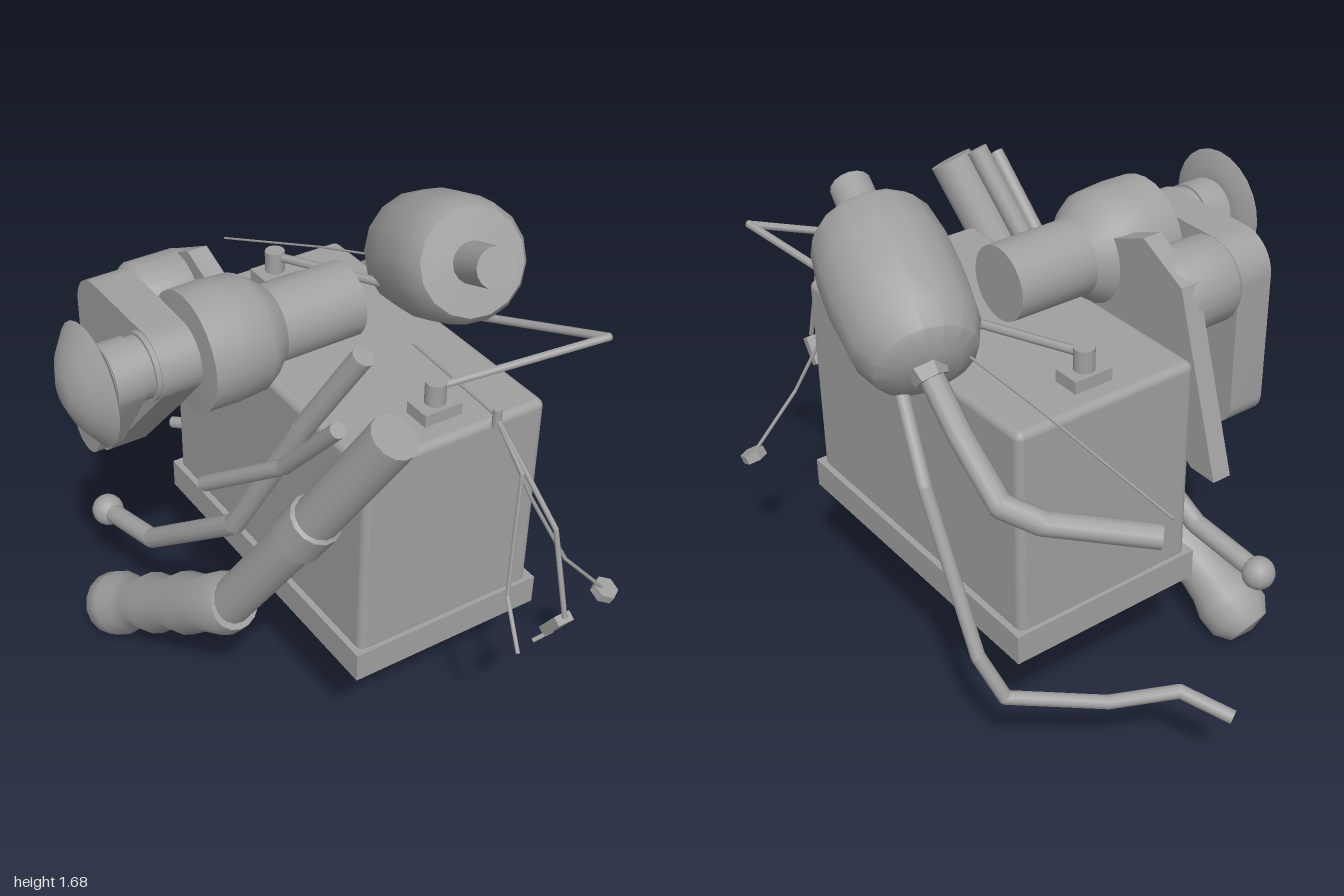
import * as THREE from 'three';
import { mergeGeometries, toCreasedNormals } from 'three/addons/utils/BufferGeometryUtils.js';
import { RoundedBoxGeometry } from 'three/addons/geometries/RoundedBoxGeometry.js';

const V = (p) => new THREE.Vector3(...p);
const UP = new THREE.Vector3(0, 1, 0);

export function createModel() {
  const model = new THREE.Group();
  const grey = new THREE.MeshStandardMaterial({ color: 0xa0a0a0 });
  grey.name = 'plain grey';

  const add = (name, geometry, pos = [0, 0, 0]) => {
    const mesh = new THREE.Mesh(geometry, grey);
    mesh.name = name;
    mesh.position.set(...pos);
    model.add(mesh);
    return mesh;
  };

  // Turned part: profile of [radius, distance] along the line from a towards b
  const turned = (name, profile, a, b, sides = 20) => {
    const g = new THREE.LatheGeometry(profile.map(([r, t]) => new THREE.Vector2(r, t)), sides);
    const mesh = add(name, toCreasedNormals(g, 0.7), a);
    mesh.quaternion.setFromUnitVectors(UP, V(b).sub(V(a)).normalize());
    return mesh;
  };

  // Bent rod: straight capped pieces with round joints
  const rod = (name, r, points, sides = 10) => {
    const parts = [];
    for (let i = 0; i < points.length - 1; i++) {
      const a = V(points[i]), b = V(points[i + 1]), d = b.clone().sub(a);
      const g = new THREE.CylinderGeometry(r, r, d.length(), sides);
      g.applyQuaternion(new THREE.Quaternion().setFromUnitVectors(UP, d.normalize()));
      const mid = a.add(b).multiplyScalar(0.5);
      parts.push(g.translate(mid.x, mid.y, mid.z));
      if (i > 0) parts.push(new THREE.SphereGeometry(r, sides, 6).translate(...points[i]));
    }
    return add(name, mergeGeometries(parts));
  };

  // Plate cut in the z-y plane, between two x positions
  const plate = (name, shape, x0, x1) => {
    const g = new THREE.ExtrudeGeometry(shape, { depth: x1 - x0, bevelEnabled: false, curveSegments: 8 });
    const mesh = add(name, toCreasedNormals(g, 0.7), [x1, 0, 0]);
    mesh.rotation.y = -Math.PI / 2; // shape x becomes z, depth runs to -x
    return mesh;
  };

  // Belt outline: arcs [z, y, radius, startAngle, endAngle] counter-clockwise
  const belt = (arcs) => {
    const s = new THREE.Shape();
    arcs.forEach(([z, y, r, a0, a1]) => s.absarc(z, y, r, a0, a1, false));
    s.closePath();
    return s;
  };

  // Case and base
  add('case', new RoundedBoxGeometry(0.63, 0.7, 1.1, 3, 0.025), [0.185, 0.9, 0.04]);
  add('base', new THREE.BoxGeometry(0.67, 0.1, 1.13), [0.185, 0.52, 0.04]);

  // Terminals on the lid
  for (const z of [-0.395, 0.47]) {
    add('terminalPad', new THREE.BoxGeometry(0.13, 0.05, 0.09), [0.185, 1.265, z]);
    add('terminalPost', new THREE.CylinderGeometry(0.032, 0.032, 0.1, 12), [0.185, 1.31, z]);
  }

  // Main spindle: barrel, housing, shaft and end knob, running along x
  turned('spindle', [
    [0, 0], [0.05, 0], [0.12, 0.03], [0.185, 0.08], [0.13, 0.105], [0.095, 0.106],
    [0.095, 0.24], [0.105, 0.24], [0.105, 0.38], [0.185, 0.385], [0.187, 0.48],
    [0.18, 0.58], [0.155, 0.62], [0.12, 0.66], [0.118, 0.935], [0, 0.935],
  ], [-0.745, 1.388, 0], [1, 1.388, 0], 24);

  // Second drum behind it
  turned('rearDrum', [[0, 0], [0.12, 0], [0.135, 0.02], [0.135, 0.18], [0.12, 0.22], [0, 0.22]],
    [-0.365, 1.37, -0.32], [1, 1.37, -0.32]);

  // Belts and the wall bracket
  const PI = Math.PI;
  plate('wideBelt', belt([
    [0, 1.388, 0.108, -0.7, PI / 2], [-0.31, 1.375, 0.12, PI / 2, PI], [-0.35, 0.96, 0.08, PI, 2 * PI - 0.7],
  ]), -0.49, -0.36);
  plate('narrowBelt', belt([
    [0, 1.388, 0.102, -0.4, PI * 0.85], [-0.14, 1.14, 0.08, PI * 0.9, 2 * PI - 0.4],
  ]), -0.625, -0.54);
  const bracket = new THREE.Shape([
    [-0.61, 0.88], [-0.51, 0.88], [-0.04, 1.22], [-0.04, 1.45], [-0.26, 1.54], [-0.43, 1.45],
  ].map(([z, y]) => new THREE.Vector2(z, y)));
  plate('bracket', bracket, -0.2, -0.135);

  // Main lever with collar and finger grip
  const gripTop = [-0.34, 0.55, 0.18];
  rod('mainLever', 0.072, [[-0.13, 1.44, 0.71], [-0.24, 1.0, 0.46], gripTop], 14);
  turned('leverCollar', [[0.07, 0], [0.083, 0.01], [0.083, 0.13], [0.07, 0.14]],
    [-0.225, 1.06, 0.494], [-0.25, 0.96, 0.435], 14);
  turned('leverGrip', [
    [0, -0.03], [0.085, -0.03], [0.102, 0.02], [0.09, 0.15], [0.105, 0.26], [0.085, 0.37], [0.104, 0.47],
    [0.085, 0.58], [0.092, 0.65], [0.112, 0.71], [0.11, 0.78], [0.075, 0.83], [0, 0.845],
  ], gripTop, [-0.455, 0.08, -0.5], 16);

  // Ball lever and short side lever
  rod('ballLever', 0.034, [
    [-0.09, 1.56, 0.5], [-0.17, 1.25, 0.33], [-0.27, 0.78, 0.1], [-0.35, 0.46, -0.32], [-0.38, 0.41, -0.59],
  ]);
  add('leverBall', new THREE.SphereGeometry(0.055, 14, 10), [-0.38, 0.41, -0.59]);
  rod('sideLever', 0.024, [[-0.255, 1.46, 0.63], [-0.28, 1.2, 0.4], [-0.37, 0.98, 0.1]]);

  // Tilted canister with nozzle
  const centre = [0.52, 1.445, 0.02];
  const ahead = [0.52 - 0.24, 1.445 + 0.45, 1.02];
  turned('canister', [
    [0, -0.27], [0.09, -0.265], [0.155, -0.23], [0.19, -0.15], [0.203, 0], [0.2, 0.12],
    [0.185, 0.23], [0.165, 0.26], [0.065, 0.265], [0.063, 0.43], [0, 0.43],
  ], centre, ahead, 16);

  // Sockets and hoses at the back of the canister
  turned('hoseSocket', [[0, 0], [0.07, 0], [0.05, 0.08], [0, 0.08]],
    [0.58, 1.375, -0.17], [0.58, 1.2, -0.36], 6);
  rod('thickHose', 0.037, [
    [0.58, 1.37, -0.18], [0.58, 1.2, -0.36], [0.575, 1.07, -0.53], [0.5, 1.03, -0.62], [0.25, 0.99, -0.82],
  ]);
  rod('thinHose', 0.022, [
    [0.6, 1.27, -0.08], [0.66, 1.03, -0.29], [0.65, 0.56, -0.51], [0.6, 0.42, -0.57],
    [0.34, 0.365, -0.72], [0.17, 0.4, -0.84], [0.09, 0.36, -0.985],
  ]);

  // Wires between terminals and canister
  rod('frontWire', 0.013, [[0.185, 1.34, 0.47], [0.64, 1.455, 0.66], [0.5, 1.34, 0.22]], 6);
  rod('rearWire', 0.014, [[0.185, 1.34, -0.395], [0.39, 1.36, 0]], 6);
  rod('whisker', 0.004, [[0.295, 1.125, -0.91], [0.4, 1.28, -0.45], [0.48, 1.38, -0.1]], 5);

  // Hanging cables at the front, with their end fittings
  const hook = [0.3, 1.28, 0.6];
  rod('lidCable', 0.005, [[0.29, 1.31, 0.22], hook], 5);
  add('cableHook', new THREE.CylinderGeometry(0.014, 0.014, 0.06, 8), [0.3, 1.275, 0.61]);
  rod('plugCable', 0.008, [hook, [0.3, 1.17, 0.76], [0.3, 1.07, 0.9], [0.3, 0.8, 0.98]], 6);
  rod('looseCable', 0.007, [hook, [0.29, 1.17, 0.75], [0.22, 0.8, 0.82], [0.175, 0.69, 0.94]], 6);
  rod('ringCable', 0.006, [hook, [0.39, 1.0, 0.69], [0.5, 0.76, 0.75], [0.66, 0.58, 0.765]], 6);
  const plug = add('plug', new THREE.BoxGeometry(0.055, 0.1, 0.03), [0.3, 0.755, 0.95]);
  plug.rotation.x = 0.6;
  rod('plugPin', 0.007, [[0.3, 0.72, 0.94], [0.245, 0.69, 0.92]], 6);
  const nut = add('cableNut', toCreasedNormals(new THREE.CylinderGeometry(0.042, 0.042, 0.03, 6), 0.5), [0.67, 0.565, 0.765]);
  nut.rotation.set(0.4, 0, -0.2);

  return model;
}
